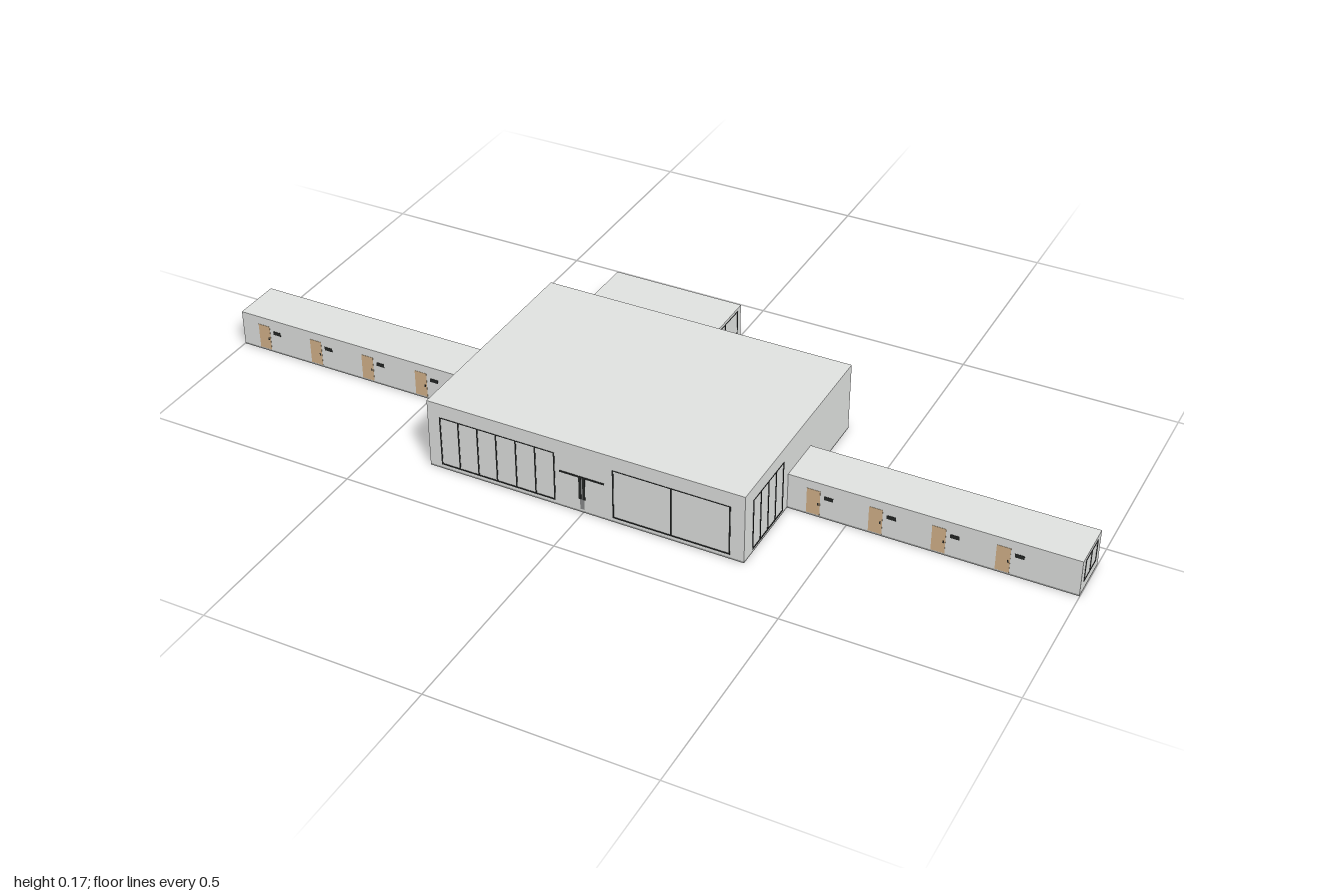
import * as THREE from 'three';

const mat = (name, color) => new THREE.MeshStandardMaterial({ name, color });

export function createModel() {
  const wall = mat('wall grey', 0xe2e4e2);
  const slab = mat('slab grey', 0x979998);
  const frame = mat('frame black', 0x252726);
  const wood = mat('door wood', 0xd6b58c);
  const steel = mat('steel', 0x8a8c8d);
  const model = new THREE.Group();
  model.name = 'building';

  // Box given by its extents on each axis
  const box = (parent, name, material, x0, x1, y0, y1, z0, z1) => {
    const m = new THREE.Mesh(new THREE.BoxGeometry(x1 - x0, y1 - y0, z1 - z0), material);
    m.position.set((x0 + x1) / 2, (y0 + y1) / 2, (z0 + z1) / 2);
    m.name = name;
    parent.add(m);
  };

  // Building blocks, each on a floor slab
  const volumes = [
    ['hall', -0.37, 0.367, 0.165, -0.152, 0.375],
    ['leftWing', 0.367, 0.999, 0.086, 0.055, 0.168],
    ['rightWing', -0.999, -0.37, 0.086, 0.055, 0.168],
    ['backAnnex', -0.32, 0, 0.086, -0.375, -0.152],
  ];
  for (const [name, x0, x1, h, z0, z1] of volumes) {
    box(model, name, wall, x0, x1, 0.004, h, z0, z1);
    box(model, name + 'Slab', slab, x0, x1, 0, 0.004, z0, z1);
  }

  // Facade: local x runs along the wall, local z points outward
  const facade = (name, x, z, turn) => {
    const g = new THREE.Group();
    g.name = name;
    g.position.set(x, 0, z);
    g.rotation.y = turn;
    model.add(g);
    return g;
  };

  // Window frame with mullions at the listed positions (first and last are the jambs)
  const windowFrame = (g, posts, y0, y1, t = 0.003) => {
    const a = posts[0] - t / 2, b = posts[posts.length - 1] + t / 2;
    for (const p of posts) box(g, 'mullion', frame, p - t / 2, p + t / 2, y0, y1, -0.001, 0.001);
    box(g, 'sill', frame, a, b, y0 - t / 2, y0 + t / 2, -0.001, 0.001);
    box(g, 'head', frame, a, b, y1 - t / 2, y1, -0.001, 0.001);
  };

  // Hall front: two window walls and the entrance between them
  const front = facade('hallFront', 0, 0.375, 0);
  windowFrame(front, [-0.34, -0.296, -0.25, -0.205, -0.158, -0.112, -0.067], 0.012, 0.131);
  windowFrame(front, [0.07, 0.202, 0.334], 0.012, 0.131);
  box(front, 'entranceHead', frame, -0.055, 0.05, 0.087, 0.091, -0.001, 0.001);
  box(front, 'entrancePost', steel, -0.007, 0.003, 0.008, 0.087, -0.001, 0.0005);
  for (const x of [-0.007, 0.002])
    box(front, 'doorHandle', frame, x - 0.003, x + 0.003, 0.033, 0.087, -0.001, 0.001);

  // Hall side window
  const side = facade('hallSide', 0.367, 0, Math.PI / 2);
  windowFrame(side, [-0.335, -0.3, -0.264, -0.228, -0.193], 0.009, 0.132);

  // Annex windows on the side and the back
  const annexSide = facade('annexSide', 0, 0, Math.PI / 2);
  windowFrame(annexSide, [0.166, 0.23, 0.293, 0.357], 0.009, 0.079);
  const annexBack = facade('annexBack', 0, -0.375, Math.PI);
  windowFrame(annexBack, [0.012, 0.205, 0.308], 0.009, 0.079);

  // Wing end windows
  const endPosts = [0.077, 0.112, 0.148];
  windowFrame(facade('leftWingEnd', 0.999, 0.225, Math.PI / 2), endPosts, 0.025, 0.077, 0.002);
  windowFrame(facade('rightWingEnd', -0.999, 0, -Math.PI / 2), endPosts, 0.025, 0.077, 0.002);

  // Wing doors with a small plate beside each, on both long sides
  const doors = [-0.94, -0.8, -0.662, -0.522, 0.425, 0.563, 0.7, 0.837];
  for (const [name, z, turn, s] of [['wingFront', 0.168, 0, 1], ['wingBack', 0.055, Math.PI, -1]]) {
    const g = facade(name, 0, z, turn);
    for (const d of doors) {
      const x = d * s;
      box(g, 'door', wood, x - 0.015, x + 0.015, 0.005, 0.066, -0.001, 0.0006);
      box(g, 'doorHandle', frame, x + 0.009, x + 0.012, 0.03, 0.036, 0, 0.001);
      box(g, 'doorPlate', frame, x + 0.024, x + 0.044, 0.048, 0.057, -0.001, 0.0006);
    }
  }
  return model;
}
